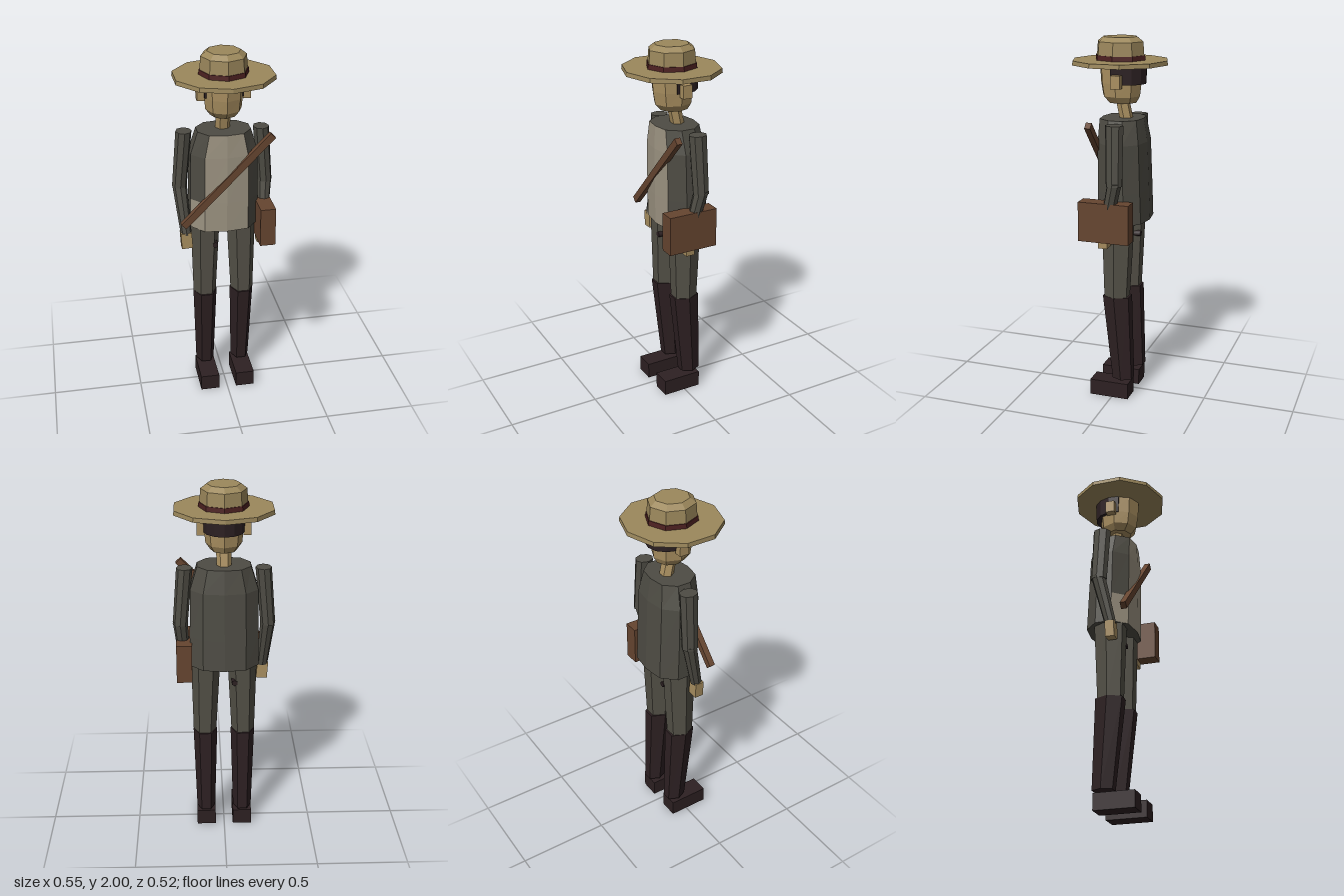
import * as THREE from 'three';

const mat = (name, color) => {
  const m = new THREE.MeshStandardMaterial({ color });
  m.name = name;
  return m;
};

// Regular polygon section, first corner at angle `from` measured from +z towards +x
const polygon = (n, from = 0, sweep = Math.PI * 2, open = false) =>
  Array.from({ length: n }, (_, i) => {
    const t = from + (sweep * i) / (open ? n - 1 : n);
    return [Math.sin(t), Math.cos(t)];
  });

// Faceted loft through rings [y, centreX, centreZ, radiusX, radiusZ], bottom to top.
// pick(ring, side) gives the material index of a side face.
function loft(rings, section, pick) {
  const pos = [];
  const geo = new THREE.BufferGeometry();
  const n = section.length;
  const pt = ([y, cx, cz, rx, rz], i) => {
    const [sx, sz] = section[i % n];
    return [cx + sx * rx, y, cz + sz * rz];
  };
  const add = (index, ...corners) => {
    geo.addGroup(pos.length / 3, corners.length, index);
    corners.forEach((c) => pos.push(...c));
  };
  for (let r = 0; r < rings.length - 1; r++) {
    for (let i = 0; i < n; i++) {
      const a = pt(rings[r], i), b = pt(rings[r], i + 1);
      const c = pt(rings[r + 1], i + 1), d = pt(rings[r + 1], i);
      add(pick ? pick(r, i) : 0, a, b, c, a, c, d);
    }
  }
  const low = rings[0], high = rings[rings.length - 1];
  for (let i = 0; i < n; i++) {
    add(0, [high[1], high[0], high[2]], pt(high, i), pt(high, i + 1));
    add(0, [low[1], low[0], low[2]], pt(low, i + 1), pt(low, i));
  }
  geo.setAttribute('position', new THREE.Float32BufferAttribute(pos, 3));
  if (!pick) geo.clearGroups();
  geo.computeVertexNormals();
  return geo;
}

export function createModel() {
  const straw = mat('straw', 0x9c885c);
  const ribbon = mat('ribbon', 0x4c2020);
  const skin = mat('skin', 0xa98f60);
  const hair = mat('hair', 0x2c2022);
  const jacket = mat('jacket', 0x4e4c44);
  const shirt = mat('shirt', 0x9d9482);
  const trousers = mat('trousers', 0x545147);
  const boots = mat('boots', 0x2d2022);
  const leather = mat('leather', 0x664530);

  const model = new THREE.Group();
  model.name = 'standingFigure';
  const put = (name, geo, material) => {
    const mesh = new THREE.Mesh(geo, material);
    mesh.name = name;
    model.add(mesh);
    return mesh;
  };
  const box = (name, w, h, d, x, y, z, material) => {
    const mesh = put(name, new THREE.BoxGeometry(w, h, d), material);
    mesh.position.set(x, y, z);
    return mesh;
  };
  const hex = polygon(6, Math.PI / 6);
  const oct = polygon(8);

  // Hat
  put('hatBrim', loft([[1.857, 0, 0, 0.272, 0.26], [1.88, 0, 0, 0.27, 0.258]], polygon(10)), straw);
  put('hatCrown', loft([
    [1.87, 0, 0, 0.128, 0.134], [1.975, 0, 0, 0.12, 0.126], [2.0, 0, 0, 0.088, 0.093],
  ], oct), straw);
  put('hatBand', loft([[1.879, 0, 0, 0.132, 0.139], [1.905, 0, 0, 0.13, 0.136]], oct), ribbon);

  // Head and neck
  put('head', loft([
    [1.655, 0, -0.012, 0.07, 0.077],
    [1.69, 0, -0.006, 0.096, 0.103],
    [1.76, 0, -0.004, 0.103, 0.113],
    [1.868, 0, -0.002, 0.106, 0.117],
  ], oct), skin);
  put('hair', loft([
    [1.757, 0, -0.02, 0.109, 0.122], [1.868, 0, -0.02, 0.112, 0.126],
  ], polygon(9, Math.PI * 0.39, Math.PI * 1.22, true)), hair);
  put('neck', loft([[1.56, 0, -0.036, 0.04, 0.036], [1.67, 0, -0.012, 0.04, 0.036]], hex), skin);

  // Jacket with the shirt showing on the front faces
  const torso = [
    [0, 1], [0.64, 0.88], [1, 0.3], [1, -0.35], [0.62, -0.88],
    [0, -1], [-0.62, -0.88], [-1, -0.35], [-1, 0.3], [-0.64, 0.88],
  ];
  put('torso', loft([
    [1.02, 0, -0.035, 0.185, 0.135],
    [1.19, 0, -0.03, 0.185, 0.133],
    [1.45, 0, -0.024, 0.18, 0.128],
    [1.575, 0, -0.016, 0.142, 0.115],
  ], torso, (r, i) => (i === 0 || i === 9 || (i === 8 && r === 0) ? 1 : 0)), [jacket, shirt]);

  // Limbs, mirrored
  for (const [side, s] of [['left', 1], ['right', -1]]) {
    put(side + 'UpperArm', loft([
      [1.25, s * 0.235, -0.045, 0.04, 0.045], [1.565, s * 0.208, -0.038, 0.043, 0.05],
    ], oct), jacket);
    put(side + 'Forearm', loft([
      [0.985, s * 0.212, 0.015, 0.03, 0.032], [1.265, s * 0.235, -0.048, 0.04, 0.04],
    ], oct), jacket);
    box(side + 'Hand', 0.06, 0.09, 0.05, s * 0.212, 0.95, 0.018, skin).rotation.z = s * -0.06;
    box(side + 'Ear', 0.04, 0.07, 0.052, s * 0.121, 1.775, -0.018, skin);
    put(side + 'Thigh', loft([
      [0.595, s * 0.107, -0.018, 0.064, 0.073], [1.025, s * 0.1, -0.022, 0.08, 0.092],
    ], hex), trousers);
    put(side + 'Boot', loft([
      [0.11, s * 0.104, -0.054, 0.052, 0.064], [0.6, s * 0.105, -0.019, 0.067, 0.085],
    ], hex), boots);
    box(side + 'Shoe', 0.106, 0.09, 0.222, s * 0.103, 0.045, 0.016, boots);
  }

  // Small dark peg through the right thigh
  const peg = put('thighPeg', new THREE.CylinderGeometry(0.017, 0.017, 0.158, 6), hair);
  peg.rotation.x = Math.PI / 2;
  peg.position.set(-0.056, 0.917, -0.022);

  // Shoulder bag and its strap across the chest
  box('bag', 0.084, 0.215, 0.28, 0.216, 1.047, 0.01, leather);
  box('bagStrap', 0.685, 0.038, 0.032, 0.003, 1.317, 0.094, leather).rotation.z = Math.atan2(0.48, 0.47);

  return model;
}
